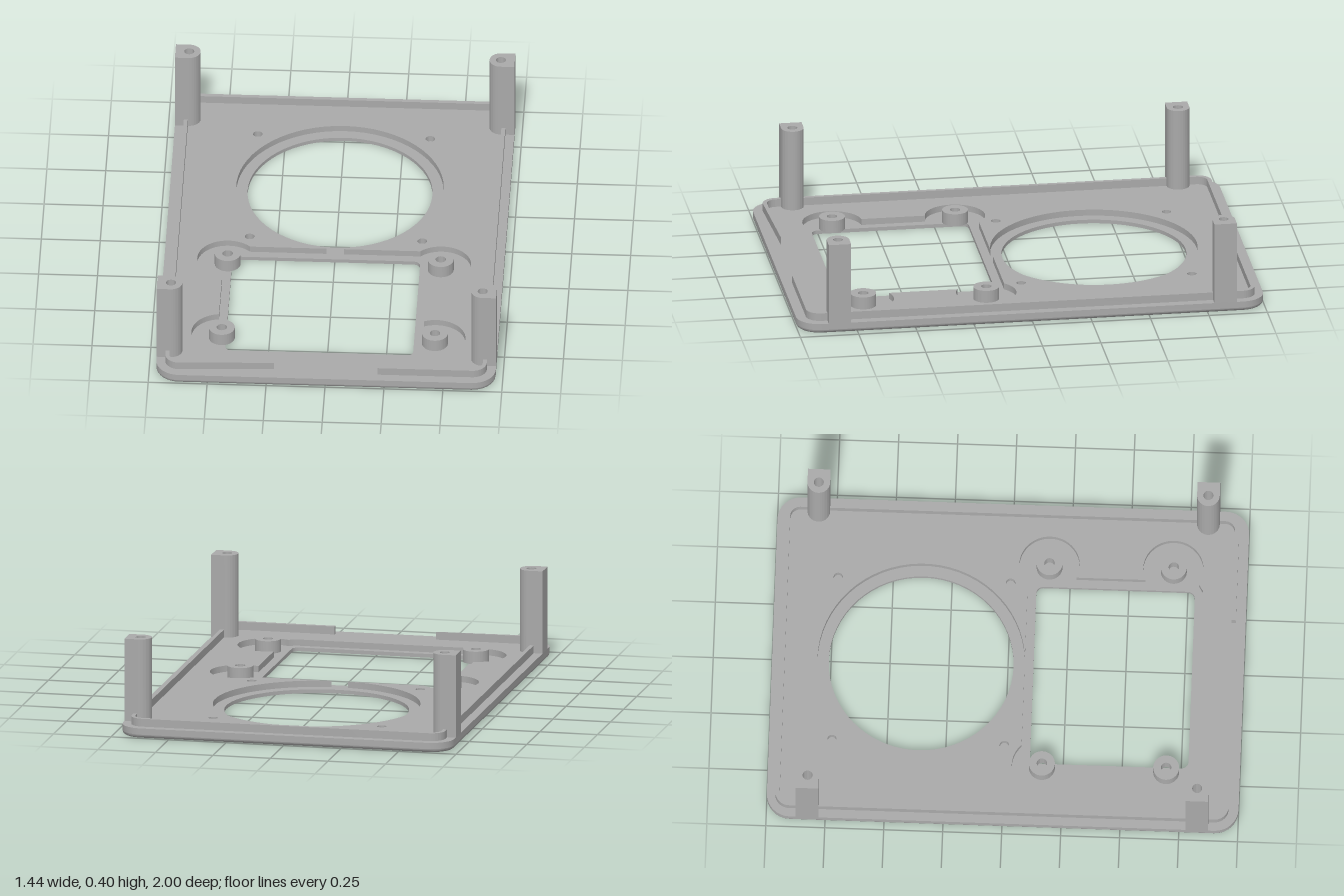
import * as THREE from 'three';
import { toCreasedNormals } from 'three/addons/utils/BufferGeometryUtils.js';

const PI = Math.PI;
const FLOOR = 0.016, TOP = 0.043, LIP = 0.077, POST = 0.4;
const grey = new THREE.MeshStandardMaterial({ color: 0xa9a9a9 });
grey.name = 'grey plastic';

// Shapes are drawn in (x, z) and raised from y0 to y1.
function slab(name, shape, y0, y1) {
  const g = new THREE.ExtrudeGeometry(shape, { depth: y1 - y0, bevelEnabled: false, curveSegments: 32 });
  g.rotateX(PI / 2).translate(0, y1, 0);
  const mesh = new THREE.Mesh(toCreasedNormals(g, 0.6), grey);
  mesh.name = name;
  return mesh;
}

// Rounded rectangle as a loop of points.
function roundRect(x0, x1, z0, z1, r, steps = 8) {
  const pts = [];
  [[x1 - r, z1 - r], [x0 + r, z1 - r], [x0 + r, z0 + r], [x1 - r, z0 + r]].forEach(([cx, cz], k) => {
    for (let j = 0; j <= steps; j++) {
      const a = (k + j / steps) * PI / 2;
      pts.push(new THREE.Vector2(cx + r * Math.cos(a), cz + r * Math.sin(a)));
    }
  });
  return pts;
}
const plateOutline = (inset) => roundRect(-0.72 + inset, 0.72 - inset, -1 + inset, 1 - inset, 0.1 - inset);

function circle(x, z, r) {
  return new THREE.Path().absarc(x, z, r, 0, PI * 2, false);
}

// Rounded lower edge of the plate, stacked from inset outlines.
function lowerEdge() {
  const n = 4, pos = [], idx = [];
  let count = 0;
  for (let i = 0; i <= n; i++) {
    const a = i / n * PI / 2;
    const loop = plateOutline(FLOOR * (1 - Math.sin(a)));
    count = loop.length;
    loop.forEach((p) => pos.push(p.x, FLOOR * (1 - Math.cos(a)), p.y));
  }
  for (let i = 0; i < n; i++) {
    for (let j = 0; j < count; j++) {
      const a = i * count + j, b = i * count + (j + 1) % count;
      idx.push(a, a + count, b, b, a + count, b + count);
    }
  }
  const g = new THREE.BufferGeometry();
  g.setAttribute('position', new THREE.Float32BufferAttribute(pos, 3));
  g.setIndex(idx);
  const mesh = new THREE.Mesh(toCreasedNormals(g, 0.6), grey);
  mesh.name = 'plateLowerEdge';
  return mesh;
}

// Recess around the round hole and the window, with a lobe at each standoff.
function recessPath() {
  const a = 0.453, z1 = 0.16, z2 = 0.685, R = 0.128, ringZ = -0.368, ringR = 0.44;
  const zTop = 0.0705, left = Math.asin(0.017 / R), right = Math.acos(0.053 / R);
  const top = Math.asin((z1 - zTop) / R), join = Math.acos((zTop - ringZ) / ringR);
  const p = new THREE.Path();
  p.absarc(-a, z2, R, PI / 2, 1.5 * PI - left, false);
  p.absarc(-a, z1, R, PI / 2 + left, 2 * PI - top, false);
  p.absarc(0, ringZ, ringR, PI / 2 + join, 2.5 * PI - join, false);
  p.absarc(a, z1, R, PI + top, 3 * PI - right, false);
  p.absarc(a, z2, R, PI + right, 2 * PI + 2.1, false);
  p.lineTo(0.36, z2 + R);
  p.closePath();
  return p;
}

// Thin raised rim, open in the middle of the front.
function rimShape() {
  const gap = 0.22, s = new THREE.Shape();
  const corners = (x, z0, z1, r) => [
    [-x + r, z1 - r, PI / 2], [-x + r, z0 + r, PI], [x - r, z0 + r, 1.5 * PI], [x - r, z1 - r, 2 * PI],
  ].map((c) => [...c, r]);
  s.moveTo(-gap, 0.958);
  corners(0.682, -0.964, 0.958, 0.06).forEach(([x, z, a, r]) => s.absarc(x, z, r, a, a + PI / 2, false));
  s.lineTo(gap, 0.958);
  s.lineTo(gap, 0.94);
  corners(0.665, -0.946, 0.94, 0.043).reverse().forEach(([x, z, a, r]) => s.absarc(x, z, r, a + PI / 2, a, true));
  s.lineTo(-gap, 0.94);
  s.closePath();
  return s;
}

// Corner post: half round towards the inside, square towards the plate's edge.
function postShape(side, z) {
  const x = side * 0.661, r = 0.048, s = new THREE.Shape();
  s.moveTo(side * 0.72, z - r);
  s.lineTo(x, z - r);
  s.absarc(x, z, r, -PI / 2, PI / 2, side > 0);
  s.lineTo(side * 0.72, z + r);
  s.closePath();
  s.holes.push(circle(x, z, 0.021));
  return s;
}

export function createModel() {
  const model = new THREE.Group();
  model.name = 'coverPlate';

  // Bottom layer with the round hole and the window
  const base = new THREE.Shape(plateOutline(FLOOR));
  base.holes.push(circle(0, -0.368, 0.392));
  base.holes.push(new THREE.Path(roundRect(-0.434, 0.363, 0.108, 0.78, 0.03)));
  model.add(slab('plateBottom', base, 0, FLOOR), lowerEdge());

  // Top layer with the recess and four blind screw holes
  const upper = new THREE.Shape(plateOutline(0));
  upper.holes.push(recessPath());
  for (const x of [-0.366, 0.366]) {
    for (const z of [-0.733, -0.002]) upper.holes.push(circle(x, z, 0.02));
  }
  model.add(slab('plateTop', upper, FLOOR, TOP));

  model.add(slab('rim', rimShape(), TOP, LIP));

  // Posts and standoffs, mirrored left and right
  for (const side of [-1, 1]) {
    for (const z of [-0.826, 0.826]) model.add(slab('cornerPost', postShape(side, z), TOP, POST));
    for (const z of [0.16, 0.687]) {
      const s = new THREE.Shape().absarc(side * 0.452, z, 0.055, 0, PI * 2, false);
      s.holes.push(circle(side * 0.452, z, 0.022));
      model.add(slab('standoff', s, FLOOR, 0.07));
    }
  }
  return model;
}
